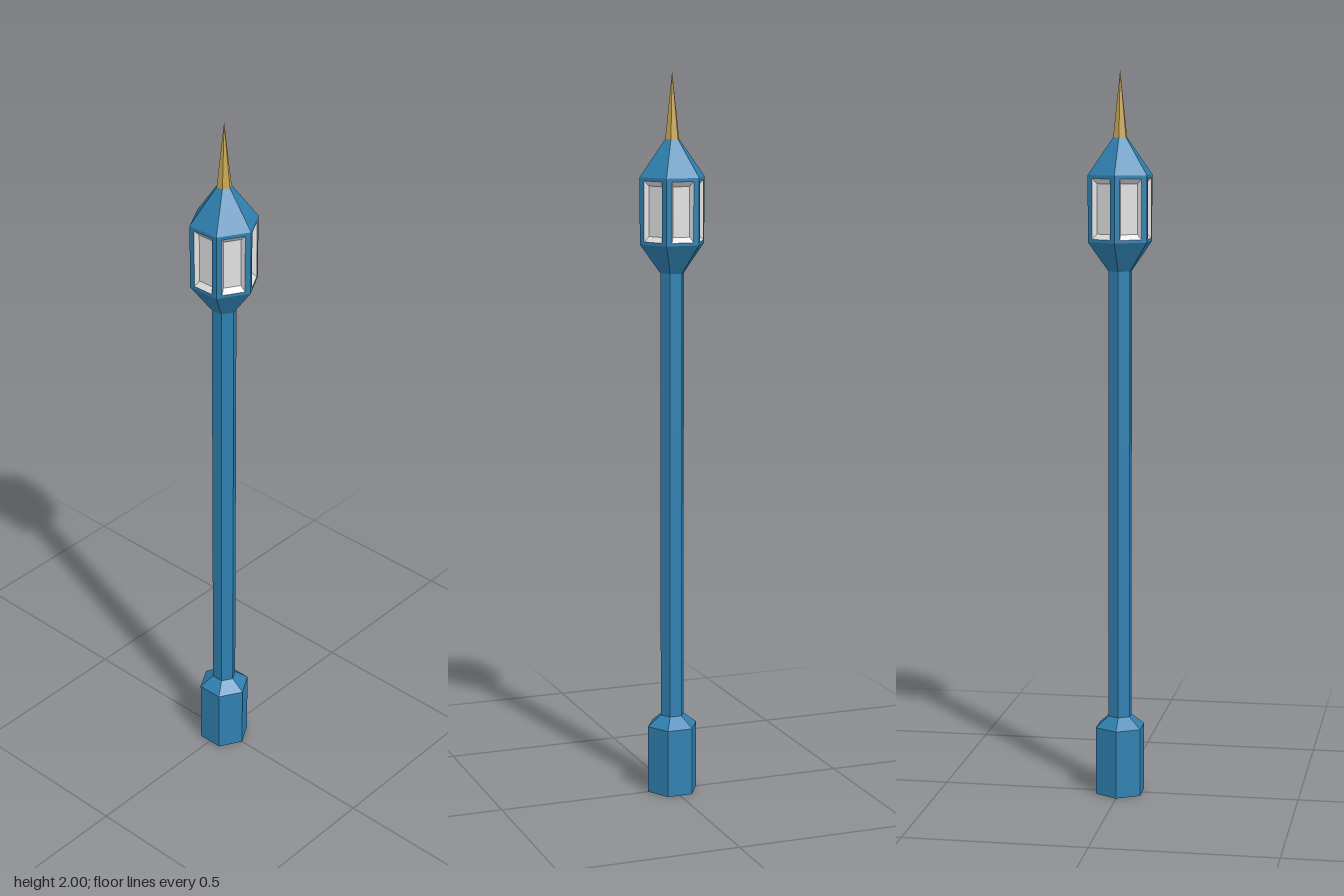
import * as THREE from 'three';

export function createModel() {
  const model = new THREE.Group();
  model.name = 'lampPost';

  const mat = (name, color) => {
    const m = new THREE.MeshStandardMaterial({ color, flatShading: true });
    m.name = name;
    return m;
  };
  const blue = mat('blue paint', 0x2f80b0);
  const gold = mat('gold', 0xc6a553);
  const glass = mat('pale glass', 0xe0e0e0);

  const add = (name, geometry, material, parent = model) => {
    const mesh = new THREE.Mesh(geometry, material);
    mesh.name = name;
    parent.add(mesh);
    return mesh;
  };

  // Six-sided section between two heights, corners on the z axis
  const hex = (name, y0, y1, r0, r1, material = blue, open = false) => {
    const mesh = add(name, new THREE.CylinderGeometry(r1, r0, y1 - y0, 6, 1, open), material);
    mesh.position.y = (y0 + y1) / 2;
    return mesh;
  };

  const poleR = 0.034, lampR = 0.093;
  hex('base', 0, 0.19, 0.072, 0.072);
  hex('baseCollar', 0.19, 0.22, 0.072, poleR, blue, true);
  hex('pole', 0.22, 1.46, poleR, poleR, blue, true);
  hex('lanternFunnel', 1.46, 1.54, poleR, lampR, blue, true);
  hex('lanternRoof', 1.72, 1.82, lampR, 0.02, blue, true);
  hex('finial', 1.82, 2, 0.02, 0, gold);

  // Lantern side: a framed opening in each of the six faces
  const rect = (path, w, y0, y1) => path
    .moveTo(-w, y0).lineTo(w, y0).lineTo(w, y1).lineTo(-w, y1).closePath();
  const frameShape = new THREE.Shape();
  rect(frameShape, lampR / 2, 1.54, 1.72);
  const hole = new THREE.Path();
  rect(hole, 0.031, 1.548, 1.711);
  frameShape.holes.push(hole);
  const frameGeo = new THREE.ShapeGeometry(frameShape);

  // Recessed window: sloping reveals around a flat pane
  const corners = (w, y0, y1, z) => [[-w, y0, z], [w, y0, z], [w, y1, z], [-w, y1, z]];
  const outer = corners(0.031, 1.548, 1.711, 0);
  const inner = corners(0.024, 1.562, 1.697, -0.012);
  const points = [];
  const quad = (a, b, c, d) => points.push(...a, ...b, ...c, ...a, ...c, ...d);
  for (let i = 0; i < 4; i++) {
    const j = (i + 1) % 4;
    quad(outer[i], outer[j], inner[j], inner[i]);
  }
  quad(...inner);
  const windowGeo = new THREE.BufferGeometry();
  windowGeo.setAttribute('position', new THREE.Float32BufferAttribute(points, 3));
  windowGeo.computeVertexNormals();

  const apothem = lampR * Math.cos(Math.PI / 6);
  for (let i = 0; i < 6; i++) {
    const side = new THREE.Group();
    side.name = 'lanternSide';
    side.rotation.y = Math.PI / 6 + i * Math.PI / 3;
    add('windowFrame', frameGeo, blue, side).position.z = apothem;
    add('windowPane', windowGeo, glass, side).position.z = apothem;
    model.add(side);
  }

  return model;
}
